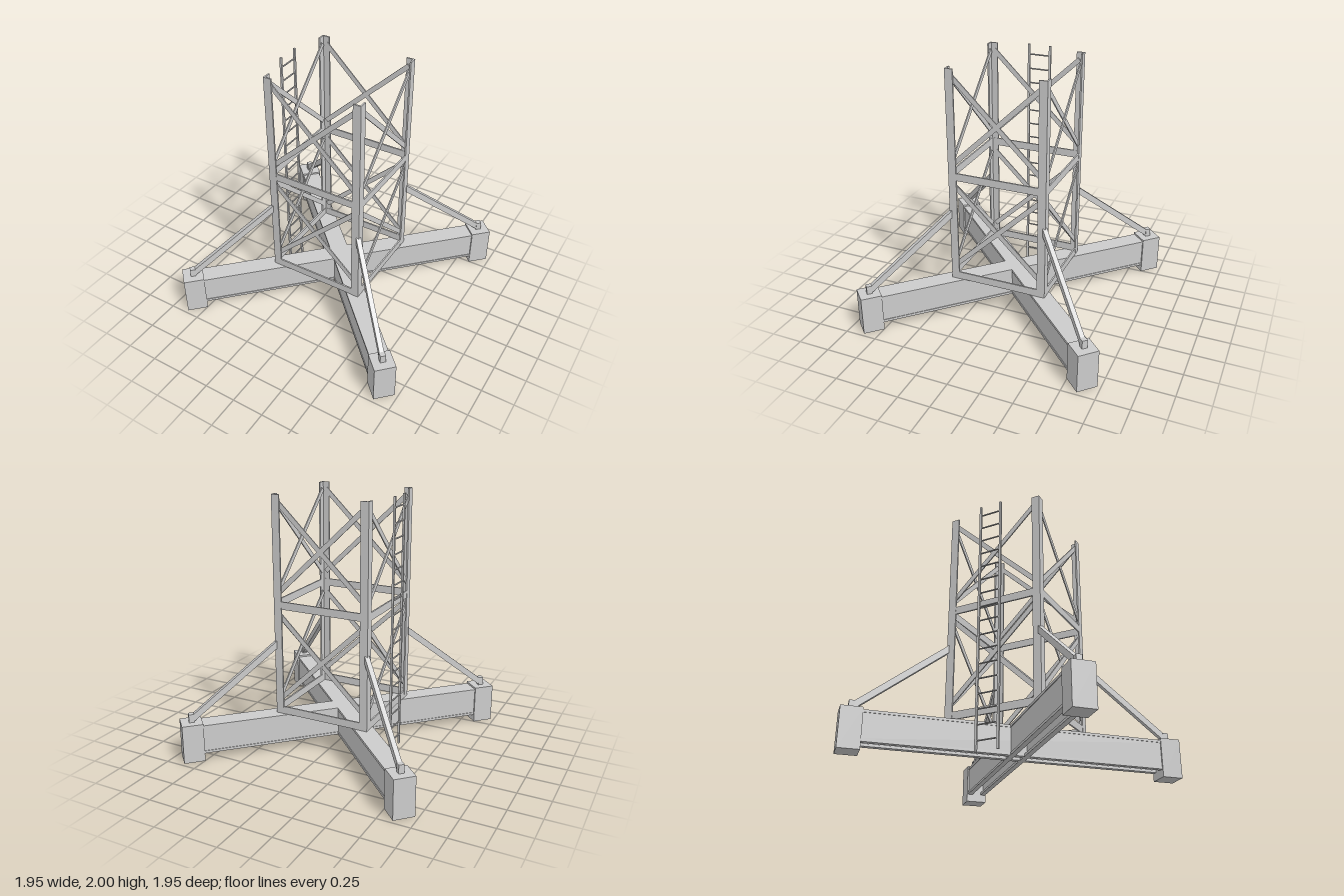
import * as THREE from 'three';

const material = new THREE.MeshStandardMaterial({ color: 0xcccccc, flatShading: true });

function add(parent, name, geometry, x = 0, y = 0, z = 0) {
  const mesh = new THREE.Mesh(geometry, material);
  mesh.name = name;
  mesh.position.set(x, y, z);
  parent.add(mesh);
  return mesh;
}

const box = (parent, name, w, h, d, x, y, z) =>
  add(parent, name, new THREE.BoxGeometry(w, h, d), x, y, z);

// Hollow base beam: top plate, two webs, two bottom flanges
function baseBeam(parent, angle) {
  const beam = new THREE.Group();
  beam.name = 'baseBeam';
  beam.rotation.y = angle;
  const length = 2.3;
  box(beam, 'topPlate', length, 0.02, 0.148, 0, 0.28, 0);
  for (const s of [-1, 1]) {
    box(beam, 'web', length, 0.19, 0.014, 0, 0.175, s * 0.062);
    box(beam, 'bottomFlange', length, 0.02, 0.04, 0, 0.07, s * 0.054);
  }
  parent.add(beam);
}

// Foot block, post and sloping strut at the end of one arm
function outrigger(parent, angle) {
  const arm = new THREE.Group();
  arm.name = 'outrigger';
  arm.rotation.y = angle;
  box(arm, 'footBlock', 0.16, 0.305, 0.162, 1.218, 0.1525, 0);
  box(arm, 'post', 0.042, 0.07, 0.042, 1.216, 0.335, 0);
  const side = new THREE.Shape([
    new THREE.Vector2(0.54, 0.825), new THREE.Vector2(1.21, 0.3),
    new THREE.Vector2(1.21, 0.36), new THREE.Vector2(0.54, 0.885),
  ]);
  const strut = new THREE.ExtrudeGeometry(side, { depth: 0.036, bevelEnabled: false });
  add(arm, 'strut', strut, 0, 0, -0.018);
  parent.add(arm);
}

// One side of the tower, built facing +z
function towerSide(parent, angle) {
  const side = new THREE.Group();
  side.name = 'towerSide';
  side.rotation.y = angle;
  const outer = 0.39, t = 0.012;
  // Each side carries one plate of both corner angles
  for (const s of [-1, 1])
    box(side, 'legPlate', 0.063, 1.71, t, s * (outer - 0.0315), 1.145, outer - t / 2);
  for (const y of [0.32, 1.17])
    box(side, 'crossRail', 0.756, 0.06, t, 0, y, outer - t / 2 - 0.001);
  for (const y of [0.752, 1.605])
    for (const s of [-1, 1]) {
      const brace = box(side, 'crossBrace', 0.98, 0.038, 0.009, 0, y, outer - 0.0165 + s * 0.003);
      brace.rotation.z = s * Math.atan(0.96);
    }
  parent.add(side);
}

function ladder(parent) {
  const group = new THREE.Group();
  group.name = 'ladder';
  group.position.x = -0.449;
  for (const s of [-1, 1]) box(group, 'ladderRail', 0.015, 2, 0.017, 0, 1, s * 0.087);
  for (let i = 0; i < 17; i++) {
    const rung = add(group, 'rung', new THREE.CylinderGeometry(0.006, 0.006, 0.17, 8), 0, 0.08 + i * 0.115, 0);
    rung.rotation.x = Math.PI / 2;
  }
  parent.add(group);
}

export function createModel() {
  const model = new THREE.Group();
  model.name = 'latticeTowerBase';
  for (let i = 0; i < 4; i++) {
    const turn = i * Math.PI / 2;
    if (i < 2) baseBeam(model, turn + Math.PI / 4);
    outrigger(model, turn + Math.PI / 4);
    towerSide(model, turn);
  }
  ladder(model);
  return model;
}
